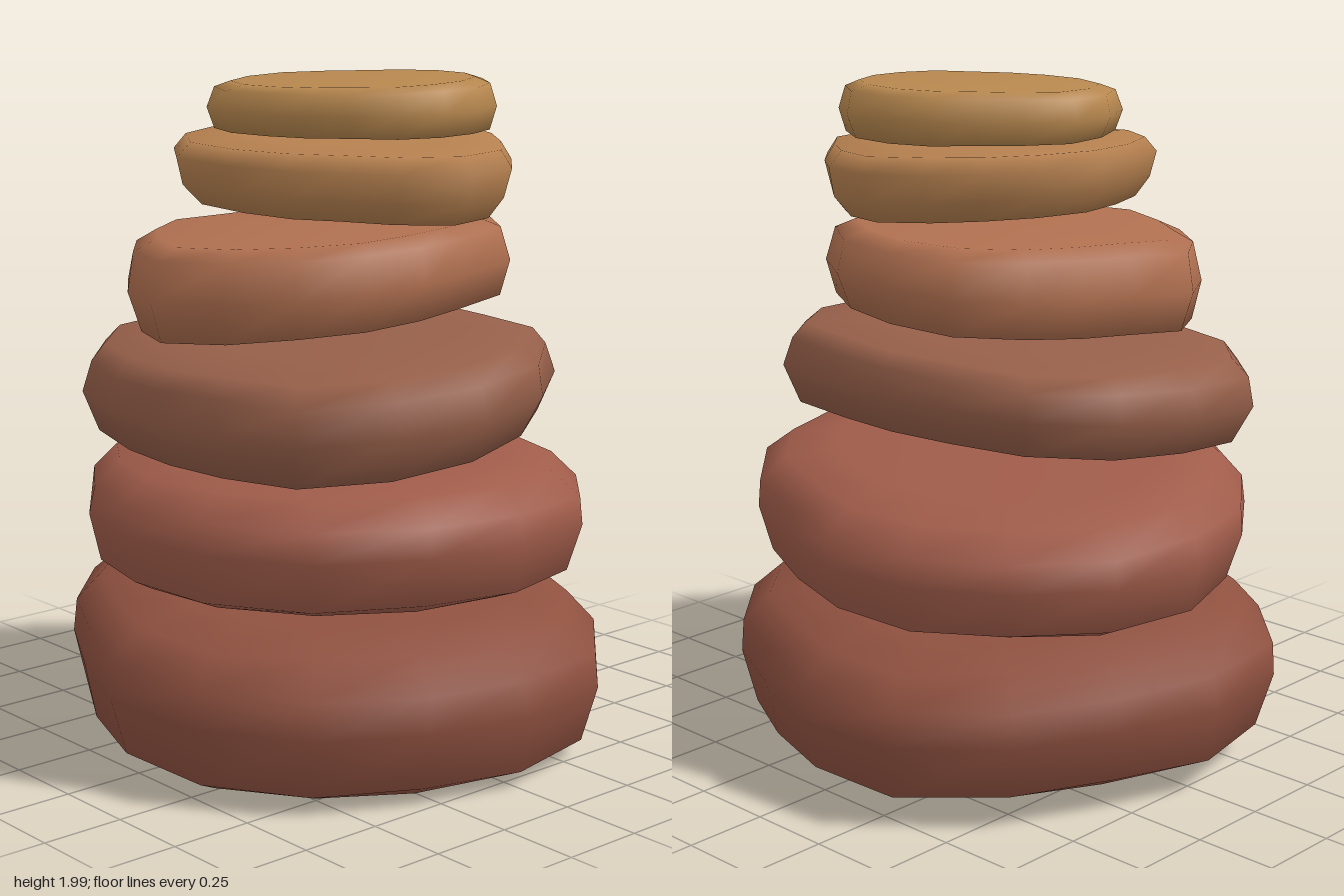
import * as THREE from 'three';
import { mergeVertices } from 'three/addons/utils/BufferGeometryUtils.js';

// Edge profiles from underside centre to top centre: [outline scale, height fraction]
const ROUND = [[0, 0], [0.6, 0], [0.86, 0.05], [0.95, 0.13], [1, 0.5], [0.985, 0.72], [0.88, 0.91], [0.66, 0.985], [0, 1]];
const WEDGE = [[0, 0], [0.6, 0], [0.92, 0.04], [1, 0.45], [0.97, 0.76], [0.9, 0.93], [0.6, 1], [0, 1]];
const BLOCK = [[0, 0], [0.6, 0], [0.94, 0.03], [1, 0.45], [0.96, 0.86], [0.84, 0.97], [0, 1]];
const FLARE = [[0, 0], [0.6, 0], [0.87, 0.06], [0.96, 0.35], [1, 0.74], [0.93, 0.96], [0.6, 1], [0, 1]];

// Height of a tilted plane: [height, slope in x, slope in z]
const plane = ([h, sx, sz], x, z) => h + sx * x + sz * z;

// A stone lofted between two tilted planes. Its plan is a polygon given by
// radii spaced evenly around the centre, from +x towards +z.
function makeStone(name, color, profile, [cx, cz], bottom, top, radii) {
  const sides = radii.length;
  const positions = [], index = [];
  profile.forEach(([scale, t], ring) => {
    radii.forEach((radius, i) => {
      const angle = (i / sides) * Math.PI * 2;
      // slight unevenness away from the widest ring
      const r = radius * (scale < 1 ? scale * (1 + 0.012 * Math.sin(i * 2.3 + ring * 1.7)) : 1);
      const x = cx + Math.cos(angle) * r, z = cz + Math.sin(angle) * r;
      positions.push(x, THREE.MathUtils.lerp(plane(bottom, x, z), plane(top, x, z), t), z);
      if (ring === profile.length - 1) return;
      const a = ring * sides + i, b = ring * sides + (i + 1) % sides;
      if (ring > 0) index.push(a, a + sides, b);
      if (ring < profile.length - 2) index.push(b, a + sides, b + sides);
    });
  });
  const loft = new THREE.BufferGeometry();
  loft.setAttribute('position', new THREE.Float32BufferAttribute(positions, 3));
  loft.setIndex(index);
  const geometry = mergeVertices(loft);
  geometry.computeVertexNormals();
  const mesh = new THREE.Mesh(geometry, new THREE.MeshStandardMaterial({ color }));
  mesh.name = name;
  return mesh;
}

export function createModel() {
  const group = new THREE.Group();
  group.name = 'stackedStones';
  // Two broad, rounded stones at the foot
  group.add(makeStone('baseStone', 0x8f5140, ROUND, [0, 0], [0.02, 0.01, -0.035], [0.478, -0.01, -0.02],
    [0.835, 0.77, 0.81, 0.87, 0.85, 0.84, 0.87, 0.87, 0.845, 0.785, 0.81, 0.87, 0.86, 0.815, 0.86, 0.89]));
  group.add(makeStone('secondStone', 0xa05c4a, ROUND, [0, 0], [0.515, -0.02, 0.02], [0.897, -0.03, 0.025],
    [0.73, 0.69, 0.745, 0.81, 0.82, 0.84, 0.87, 0.84, 0.8, 0.76, 0.745, 0.76, 0.78, 0.79, 0.755, 0.75]));
  // Angular stones above, shrinking towards the top
  group.add(makeStone('thirdStone', 0x97604a, WEDGE, [-0.1, 0.03], [0.965, 0.1, -0.01], [1.25, 0.06, 0.01],
    [0.58, 0.61, 0.715, 0.73, 0.735, 0.73, 0.72, 0.615, 0.59, 0.625, 0.7, 0.745, 0.715, 0.71, 0.685, 0.59]));
  group.add(makeStone('fourthStone', 0xb07050, BLOCK, [-0.1, 0.02], [1.305, 0.07, 0.045], [1.57, 0.045, 0.015],
    [0.58, 0.585, 0.585, 0.51, 0.495, 0.505, 0.52, 0.56, 0.595, 0.56, 0.55, 0.545, 0.46, 0.455, 0.505, 0.575]));
  group.add(makeStone('fifthStone', 0xb5804f, FLARE, [-0.02, 0.1], [1.618, 0, -0.06], [1.825, 0.015, -0.04],
    [0.5, 0.485, 0.47, 0.51, 0.51, 0.44, 0.4, 0.425, 0.46, 0.525, 0.52, 0.485, 0.48, 0.445, 0.445, 0.46]));
  group.add(makeStone('topStone', 0xb8884f, BLOCK, [-0.02, 0.13], [1.835, 0, 0], [1.99, 0.03, 0],
    [0.38, 0.405, 0.405, 0.39, 0.38, 0.365, 0.325, 0.34, 0.36, 0.41, 0.44, 0.425, 0.41, 0.345, 0.32, 0.355]));
  return group;
}
